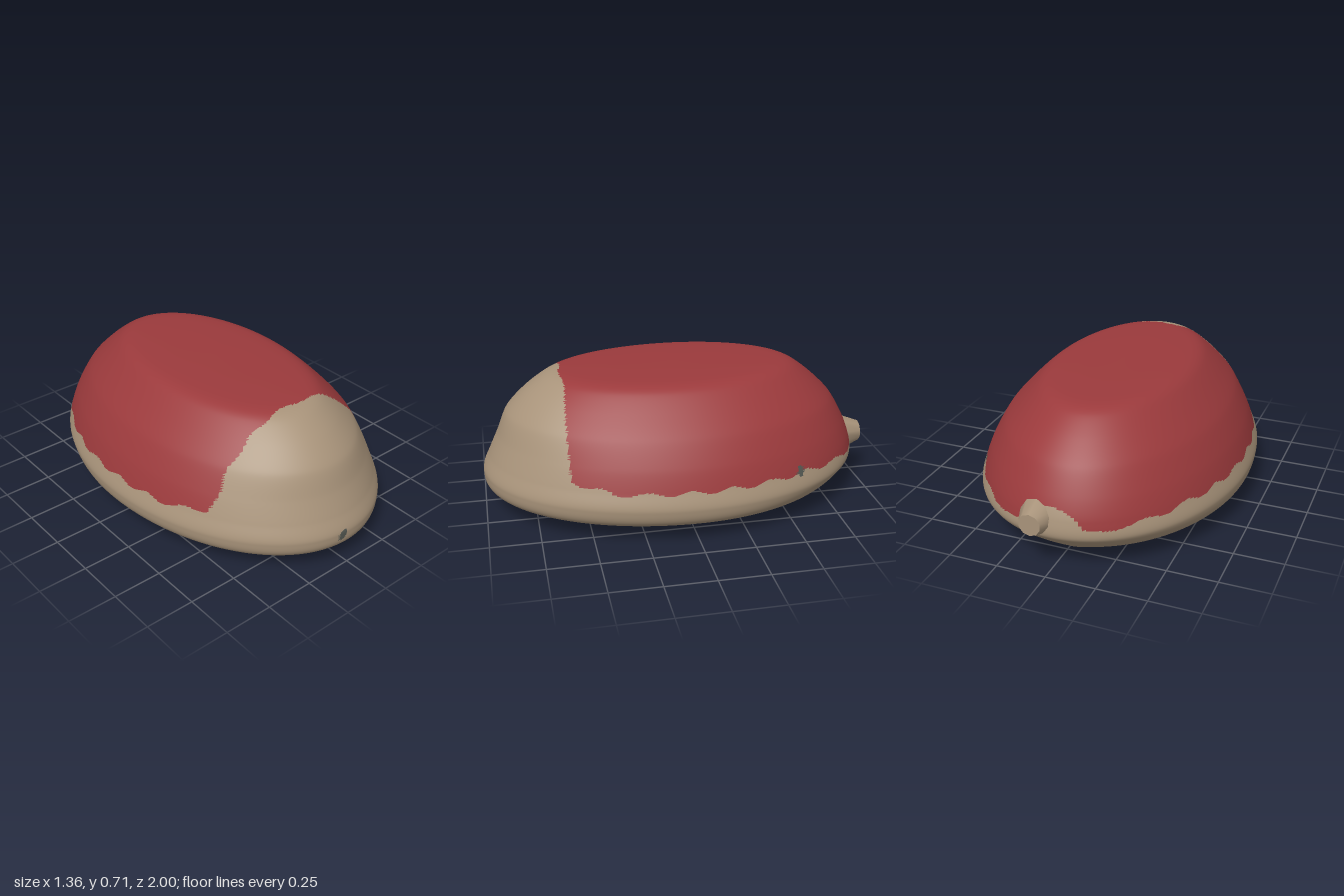
import * as THREE from 'three';

const mat = (name, color) => {
  const m = new THREE.MeshStandardMaterial({ color });
  m.name = name;
  return m;
};

const SEGMENTS = 240;

// Loft oval rings [y, halfWidth, frontReach, backReach]; paint(x, y, z) picks a material index per face
function loft(name, keys, steps, smooth, materials, paint) {
  const rings = [];
  const mix = (i, t, c) => {
    const at = k => keys[Math.min(Math.max(k, 0), keys.length - 1)][c];
    const p1 = at(i), p2 = at(i + 1);
    if (!smooth) return p1 + (p2 - p1) * t;
    const m1 = (p2 - at(i - 1)) * 0.4, m2 = (at(i + 2) - p1) * 0.4;
    const t2 = t * t, t3 = t2 * t;
    return (2 * t3 - 3 * t2 + 1) * p1 + (t3 - 2 * t2 + t) * m1 + (3 * t2 - 2 * t3) * p2 + (t3 - t2) * m2;
  };
  for (let i = 0; i < keys.length - 1; i++) {
    for (let s = 0; s < steps; s++) rings.push([0, 1, 2, 3].map(c => mix(i, s / steps, c)));
  }
  rings.push(keys[keys.length - 1]);

  const pos = [];
  for (const [y, a, front, back] of rings) {
    for (let j = 0; j < SEGMENTS; j++) {
      const th = (j / SEGMENTS) * Math.PI * 2, s = Math.sin(th);
      pos.push(a * Math.cos(th), y, s * (s > 0 ? front : back));
    }
  }
  const faces = materials.map(() => []);
  const add = (...tri) => {
    const mid = [0, 1, 2].map(k => tri.reduce((sum, v) => sum + pos[v * 3 + k], 0) / 3);
    faces[paint(...mid)].push(...tri);
  };
  for (let i = 0; i < rings.length - 1; i++) {
    for (let j = 0; j < SEGMENTS; j++) {
      const k = (j + 1) % SEGMENTS;
      const a = i * SEGMENTS + j, c = i * SEGMENTS + k;
      const b = a + SEGMENTS, d = c + SEGMENTS;
      if (rings[i][1] > 0) add(a, b, c);
      if (rings[i + 1][1] > 0) add(b, d, c);
    }
  }
  const geo = new THREE.BufferGeometry();
  geo.setAttribute('position', new THREE.Float32BufferAttribute(pos, 3));
  geo.setIndex(faces.flat());
  let start = 0;
  faces.forEach((f, n) => {
    if (f.length) geo.addGroup(start, f.length, n);
    start += f.length;
  });
  geo.computeVertexNormals();
  const mesh = new THREE.Mesh(geo, materials);
  mesh.name = name;
  return mesh;
}

export function createModel() {
  const group = new THREE.Group();
  group.name = 'hollowShell';
  const tan = mat('tan', 0xa8937a);
  const red = mat('red', 0x9b3a3c);
  const orange = mat('orange', 0xb5771f);
  const green = mat('green', 0x8f9e30);
  const slate = mat('slate', 0x66736f);
  const darkGrey = mat('darkGrey', 0x545852);

  // Outer shell: tan body, red back with a slightly wavy edge, small dark spots
  const spot = (u, v, r, s) => (u / r) ** 2 + (v / s) ** 2 < 1;
  group.add(loft('outerShell', [
    [0.005, 0.37, 0.62, 0.72],
    [0.1, 0.635, 0.955, 0.85],
    [0.19, 0.68, 1.0, 0.95],
    [0.28, 0.655, 0.965, 0.945],
    [0.38, 0.615, 0.92, 0.905],
    [0.5, 0.545, 0.87, 0.835],
    [0.6, 0.455, 0.775, 0.735],
    [0.675, 0.375, 0.67, 0.635],
    [0.7, 0.315, 0.58, 0.55],
    [0.709, 0.2, 0.36, 0.34],
    [0.713, 0, 0, 0],
  ], 12, true, [tan, red, darkGrey], (x, y, z) => {
    if (z > 0.8 && (spot(x + 0.04 - (y - 0.185) * 0.3, y - 0.185, 0.023, 0.027) || spot(x + 0.035, y - 0.053, 0.02, 0.012))) return 2;
    if (x > 0.3 && spot(z + 0.525, y - 0.285, 0.018, 0.028)) return 2;
    const edge = 0.275 + 0.01 * Math.sin(z * 31) + 0.2 * Math.max(0, z - 0.4) - 0.1 * Math.max(0, -z - 0.6);
    return y > edge && z < 0.59 + 0.008 * Math.sin(x * 27 + y * 19) && z > -0.925 ? 1 : 0;
  }));

  // Tan hollow in the underside
  group.add(loft('hollow', [
    [0.32, 0, 0, 0],
    [0.3, 0.31, 0.53, 0.55],
    [0.005, 0.37, 0.62, 0.72],
  ], 8, false, [tan], () => 0));

  // Rounded core hanging in the hollow, striped from front to back
  const core = loft('stripedCore', [
    [0.03, 0, 0, 0],
    [0.05, 0.1, 0.24, 0.2],
    [0.14, 0.2, 0.38, 0.32],
    [0.315, 0.26, 0.43, 0.38],
  ], 14, false, [red, orange, green, slate],
  (x, y, z) => z > 0.15 ? 0 : z > 0.01 ? 1 : z > -0.16 ? 2 : 3);
  core.position.x = -0.06;
  group.add(core);

  // Small tail nub at the back
  const nubGeo = new THREE.CylinderGeometry(0.055, 0.11, 0.14, 10);
  nubGeo.rotateX(-Math.PI / 2);
  const nub = new THREE.Mesh(nubGeo, tan);
  nub.name = 'tailNub';
  nub.position.set(0.07, 0.265, -0.93);
  group.add(nub);

  return group;
}
